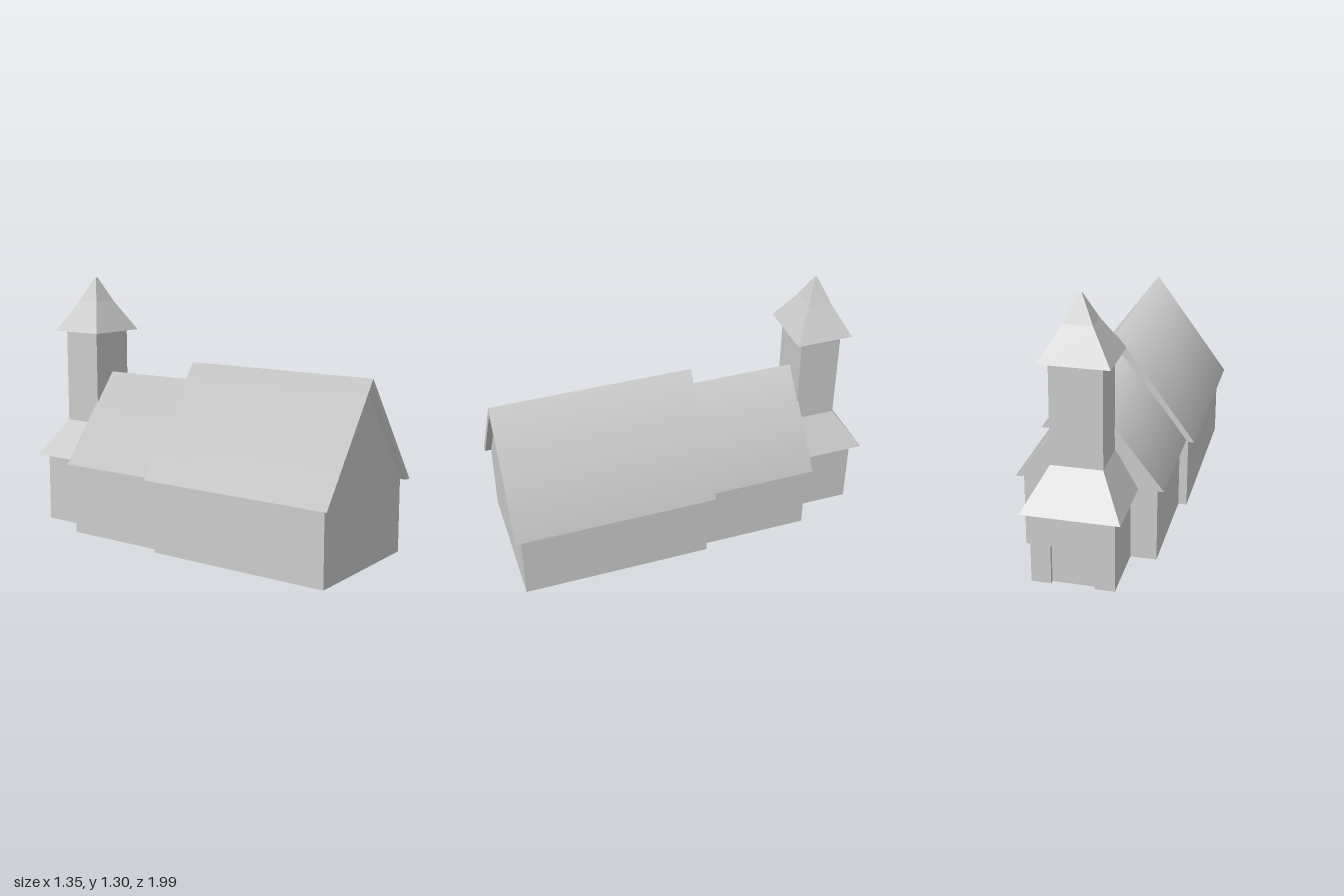
import * as THREE from 'three';

const grey = new THREE.MeshStandardMaterial({ color: 0xcccccc });

function addMesh(parent, name, geometry) {
  const mesh = new THREE.Mesh(geometry, grey);
  mesh.name = name;
  parent.add(mesh);
  return mesh;
}

function polygon(points) {
  return new THREE.Shape(points.map(([x, y]) => new THREE.Vector2(x, y)));
}

// Profile extruded along z from z0 to z1
function prism(points, z0, z1) {
  return new THREE.ExtrudeGeometry(polygon(points), { depth: z1 - z0, bevelEnabled: false }).translate(0, 0, z0);
}

// Box whose top is narrowed or widened; half sizes at bottom and top
function taperedBox([bx, bz], [tx, tz], y0, y1, z) {
  const g = new THREE.BoxGeometry(2, 1, 2);
  const p = g.attributes.position;
  for (let i = 0; i < p.count; i++) {
    const top = p.getY(i) > 0;
    p.setXYZ(i, p.getX(i) * (top ? tx : bx), top ? y1 : y0, p.getZ(i) * (top ? tz : bz) + z);
  }
  g.computeVertexNormals();
  return g;
}

// Chevron roof, with slopes shaded smoothly over the ridge
function gableRoof(half, inner, eave, ridge, innerRidge, z0, z1) {
  const g = prism([[-half, eave], [-inner, eave], [0, innerRidge], [inner, eave], [half, eave], [0, ridge]], z0, z1);
  const p = g.attributes.position, n = g.attributes.normal;
  const v = new THREE.Vector3();
  for (let i = 0; i < p.count; i++) {
    if (n.getY(i) < 0.1) continue;
    const x = p.getX(i);
    if (Math.abs(x) < 0.01) v.set(0, 1, 0);
    else v.set(Math.sign(x) * 0.95, 0.3, 0).normalize();
    n.setXYZ(i, v.x, v.y, v.z);
  }
  return g;
}

function gableWalls(half, eave, ridge, z0, z1) {
  return prism([[-half, 0], [half, 0], [half, eave], [0, ridge], [-half, eave]], z0, z1);
}

export function createModel() {
  const model = new THREE.Group();
  model.name = 'chapel';
  const building = new THREE.Group();
  building.name = 'building';
  building.position.x = -0.055;
  model.add(building);

  // Large hall
  addMesh(building, 'hallWalls', gableWalls(0.358, 0.366, 0.853, -0.107, 0.85));
  addMesh(building, 'hallRoof', gableRoof(0.395, 0.36, 0.365, 0.9, 0.855, -0.137, 0.882));

  // Smaller hall behind it
  addMesh(building, 'rearHallWalls', gableWalls(0.316, 0.366, 0.767, -0.665, -0.1));
  addMesh(building, 'rearHallRoof', gableRoof(0.35, 0.318, 0.365, 0.81, 0.769, -0.685, -0.09));

  // Tower, centred at towerZ
  const towerZ = -0.783;
  const back = towerZ - 0.19;
  const recess = 0.02;
  const tower = new THREE.Group();
  tower.name = 'tower';
  building.add(tower);

  // Porch with a pointed door recess in its back wall
  addMesh(tower, 'porchWalls', prism([[-0.192, 0], [0.192, 0], [0.192, 0.356], [-0.192, 0.356]], back + recess, towerZ + 0.19));
  addMesh(tower, 'doorSurround', prism([
    [-0.192, 0], [-0.1, 0], [-0.1, 0.19], [0, 0.25], [0.1, 0.19], [0.1, 0],
    [0.192, 0], [0.192, 0.356], [-0.192, 0.356],
  ], back, back + recess));
  addMesh(tower, 'porchRoof', taperedBox([0.227, 0.237], [0.12, 0.105], 0.355, 0.545, towerZ));

  // Shaft and slightly flared spire
  addMesh(tower, 'towerShaft', taperedBox([0.12, 0.105], [0.12, 0.105], 0.4, 1.03, towerZ));
  const spire = [[1.025, 1], [1.182, 0.41], [1.305, 0.035]];
  for (let i = 0; i < 2; i++) {
    const [[y0, s0], [y1, s1]] = [spire[i], spire[i + 1]];
    addMesh(tower, i ? 'spireTop' : 'spireBase',
      taperedBox([0.163 * s0, 0.145 * s0], [0.163 * s1, 0.145 * s1], y0, y1, towerZ));
  }

  // The whole building stands at an angle
  model.rotation.y = THREE.MathUtils.degToRad(24.4);
  const root = new THREE.Group();
  root.name = 'chapelModel';
  root.add(model);
  return root;
}
